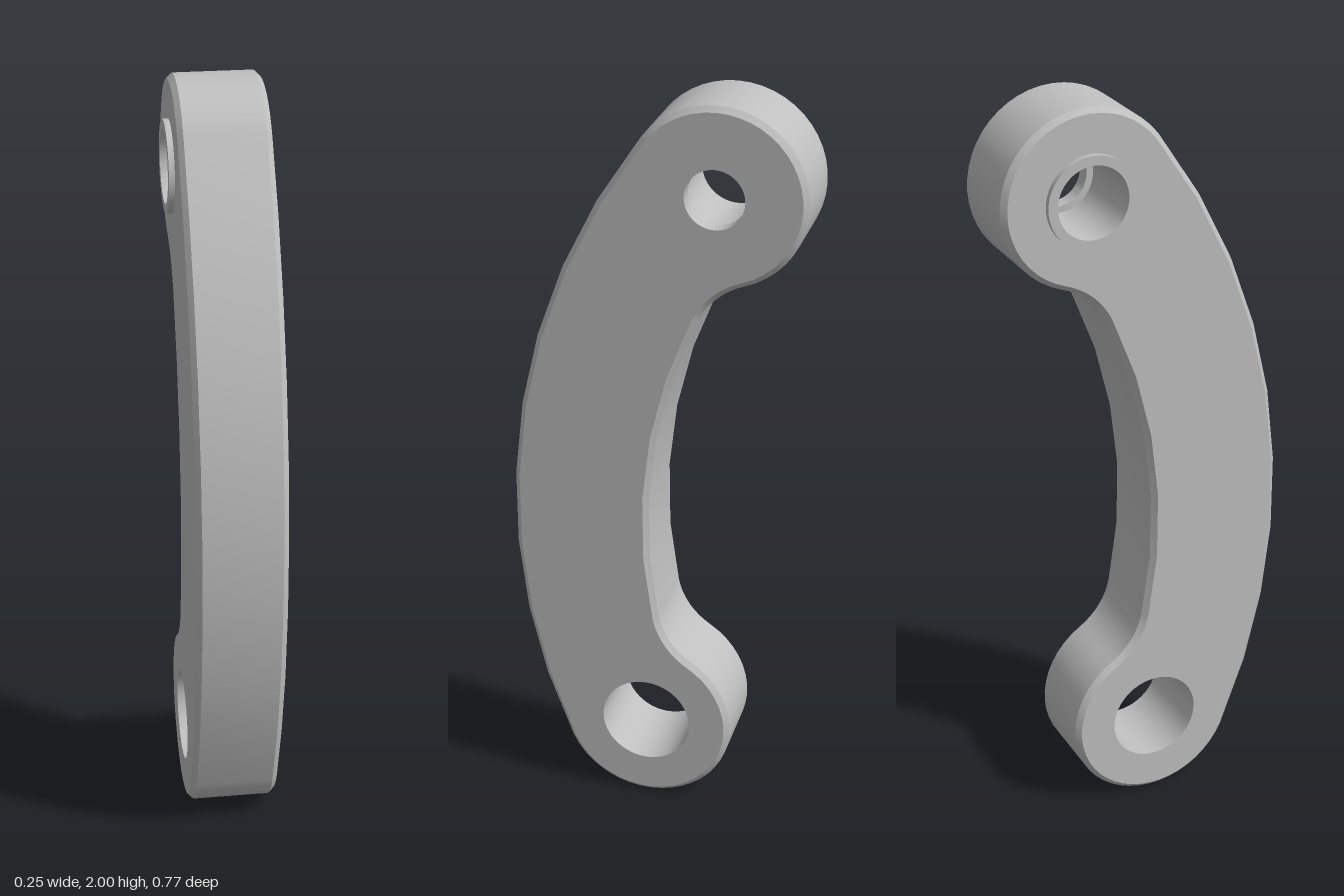
import * as THREE from 'three';
import { mergeGeometries, toCreasedNormals } from 'three/addons/utils/BufferGeometryUtils.js';

// Profile plane: u = -z, v = y; thickness w = x.
const X0 = -0.11, X1 = 0.125, CHAMFER = 0.014;
const END_R = 0.234, FILLET = 0.2, MID_R = 1.538;
const OUT_R = MID_R + END_R, IN_R = OUT_R - 0.366;
const HOLE_R = 0.122, LIP_R = 0.077, BORE_R = 0.095, BOSS_R = 0.12;

// Point left of p->q at distance rp from p and rq from q
function meet(p, rp, q, rq) {
  const d = q.clone().sub(p), len = d.length();
  const a = (rp * rp - rq * rq + len * len) / (2 * len);
  const h = Math.sqrt(rp * rp - a * a);
  d.divideScalar(len);
  return new THREE.Vector2(p.x + d.x * a - d.y * h, p.y + d.y * a + d.x * h);
}
const angle = (from, to) => Math.atan2(to.y - from.y, to.x - from.x);

const T = new THREE.Vector2(0.152, 1.766); // upper eye
const B = new THREE.Vector2(-0.027, 0.234); // lower eye
const C = meet(T, MID_R, B, MID_R); // centre of the bow
const FB = meet(B, END_R + FILLET, C, IN_R - FILLET);
const FT = meet(C, IN_R - FILLET, T, END_R + FILLET);

// Counter-clockwise outline of tangent arcs, inset by c
function outline(c) {
  const pts = [];
  const arc = (o, r, a0, a1, dir, n) => {
    let sweep = (a1 - a0) * dir;
    while (sweep < 0) sweep += Math.PI * 2;
    while (sweep > Math.PI * 2) sweep -= Math.PI * 2;
    for (let i = 0; i < n; i++) {
      const a = a0 + (dir * sweep * i) / n;
      pts.push(new THREE.Vector2(o.x + r * Math.cos(a), o.y + r * Math.sin(a)));
    }
  };
  arc(C, OUT_R - c, angle(C, T), angle(C, B), 1, 9);
  arc(B, END_R - c, angle(C, B), angle(B, FB), 1, 28);
  arc(FB, FILLET + c, angle(FB, B), angle(C, FB), -1, 8);
  arc(C, IN_R + c, angle(C, FB), angle(C, FT), -1, 5);
  arc(FT, FILLET + c, angle(C, FT), angle(FT, T), -1, 8);
  arc(T, END_R - c, angle(T, FT), angle(C, T), 1, 28);
  return pts;
}

// Closed band between two matching loops
function band(lower, w0, upper, w1) {
  const n = lower.length, pos = [], index = [];
  lower.forEach((p) => pos.push(p.x, p.y, w0));
  upper.forEach((p) => pos.push(p.x, p.y, w1));
  for (let i = 0; i < n; i++) {
    const j = (i + 1) % n;
    index.push(i, j, n + j, i, n + j, n + i);
  }
  const g = new THREE.BufferGeometry();
  g.setAttribute('position', new THREE.Float32BufferAttribute(pos, 3));
  g.setIndex(index);
  g.computeVertexNormals();
  return g;
}

// Flat face with the two eye openings
function cap(w, topRadius, flip) {
  const shape = new THREE.Shape(outline(CHAMFER));
  for (const [o, r] of [[T, topRadius], [B, HOLE_R]]) {
    shape.holes.push(new THREE.Path().absarc(o.x, o.y, r, 0, Math.PI * 2, true));
  }
  const g = new THREE.ShapeGeometry(shape, 24);
  g.deleteAttribute('uv');
  g.translate(0, 0, w);
  if (flip) {
    g.setIndex(Array.from(g.index.array).reverse());
    g.computeVertexNormals();
  }
  return g;
}

// Turned surface about an eye's axis, from [radius, w] pairs
function turned(o, profile) {
  const g = new THREE.LatheGeometry(profile.map(([r, w]) => new THREE.Vector2(r, w)), 48);
  g.rotateX(Math.PI / 2);
  g.translate(o.x, o.y, 0);
  return toCreasedNormals(g, 0.6);
}

export function createModel() {
  const group = new THREE.Group();
  group.name = 'curvedLink';
  const metal = new THREE.MeshStandardMaterial({ color: 0xbfbfbf });
  metal.name = 'grey metal';
  const add = (name, geometry) => {
    geometry.rotateY(Math.PI / 2);
    const mesh = new THREE.Mesh(geometry, metal);
    mesh.name = name;
    group.add(mesh);
  };

  // Bowed arm with chamfered rims
  const full = outline(0), inset = outline(CHAMFER);
  add('arm', mergeGeometries([
    band(inset, X0, full, X0 + CHAMFER),
    band(full, X0 + CHAMFER, full, X1 - CHAMFER),
    band(full, X1 - CHAMFER, inset, X1),
    cap(X1, LIP_R, false),
    cap(X0, BOSS_R, true),
  ]));

  // Upper eye: stepped bore with a raised rim on the right side
  add('upperBoreAndBoss', turned(T, [
    [LIP_R, X1], [LIP_R, 0.085], [BORE_R, 0.085],
    [BORE_R, -0.125], [BOSS_R, -0.125], [BOSS_R, X0],
  ]));

  // Lower eye: plain through hole
  add('lowerBore', turned(B, [[HOLE_R, X1], [HOLE_R, X0]]));
  return group;
}
